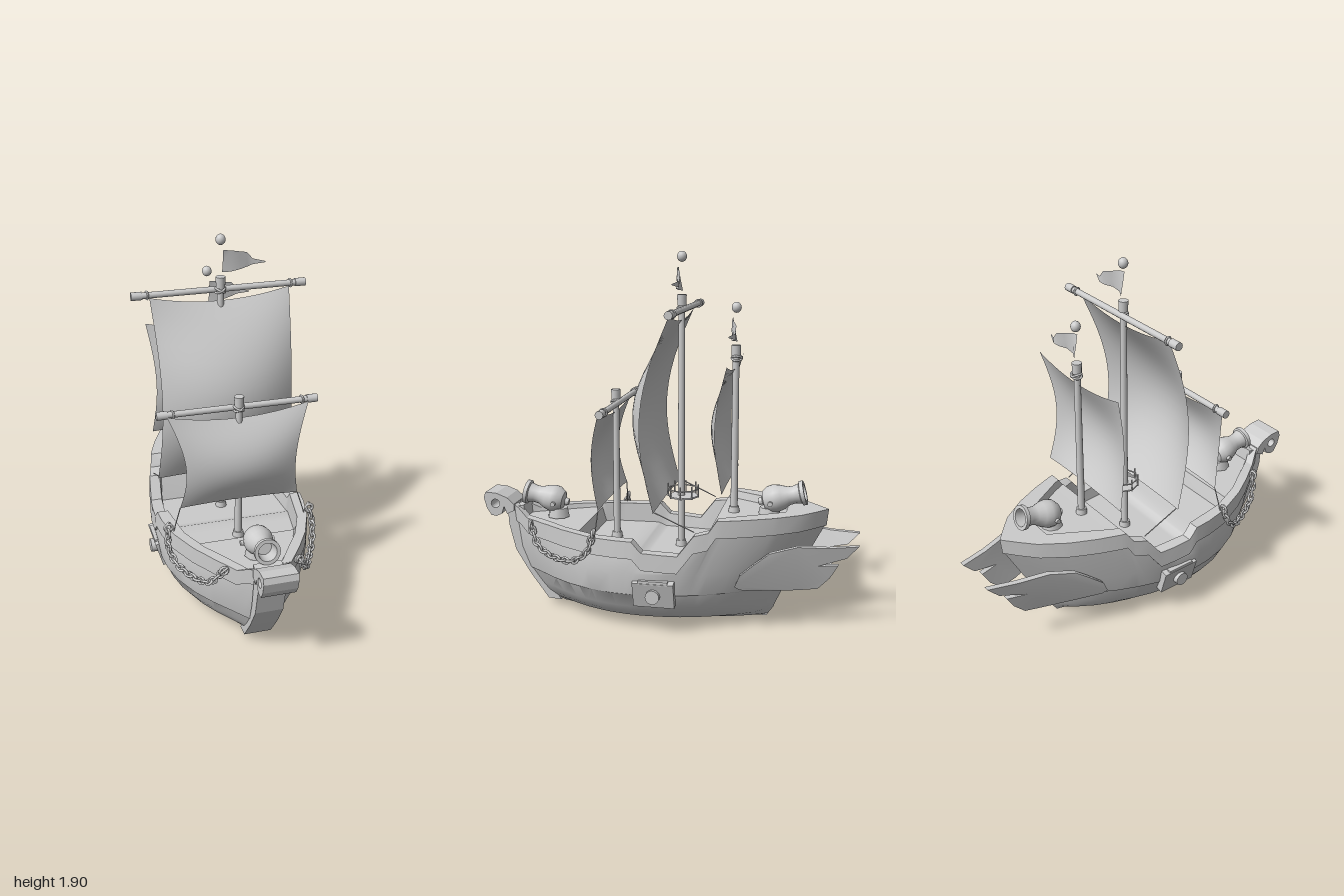
import * as THREE from 'three';
import { toCreasedNormals } from 'three/addons/utils/BufferGeometryUtils.js';

const grey = new THREE.MeshStandardMaterial({ color: 0xcccccc, side: THREE.DoubleSide });
grey.name = 'pale grey';
const V = (x, y, z) => new THREE.Vector3(x, y, z);
const lerp = THREE.MathUtils.lerp;

function add(parent, name, geo, x = 0, y = 0, z = 0) {
  const m = new THREE.Mesh(geo, grey);
  m.name = name;
  m.position.set(x, y, z);
  parent.add(m);
  return m;
}

// Piecewise linear lookup in a list of [z, value] pairs
function lookup(list, z) {
  for (let i = 1; i < list.length; i++) {
    const [a, va] = list[i - 1], [b, vb] = list[i];
    if (z <= b) return lerp(va, vb, Math.max(0, (z - a) / (b - a)));
  }
  return list[list.length - 1][1];
}

// Surface through rows of points, optionally closing each row
function loft(rows, closed, crease) {
  const n = rows[0].length, idx = [];
  for (let i = 0; i < rows.length - 1; i++) {
    for (let j = 0; j < (closed ? n : n - 1); j++) {
      const k = (j + 1) % n, a = i * n + j, b = i * n + k;
      idx.push(a, b, a + n, b, b + n, a + n);
    }
  }
  const g = new THREE.BufferGeometry().setFromPoints(rows.flat());
  g.setIndex(idx);
  return toCreasedNormals(g, crease);
}

// Side profile given as [z, y], extruded across x and centred
function sidePlate(points, width, hole) {
  const s = new THREE.Shape(points.map(p => new THREE.Vector2(...p)));
  if (hole) s.holes.push(new THREE.Path().absarc(...hole, 0, Math.PI * 2, true));
  const g = new THREE.ExtrudeGeometry(s, { depth: width, bevelEnabled: false, curveSegments: 10 });
  return g.translate(0, 0, -width / 2).rotateY(-Math.PI / 2);
}

function rod(parent, name, a, b, r, sides = 12) {
  const m = add(parent, name, new THREE.CylinderGeometry(r, r, a.distanceTo(b), sides));
  m.position.copy(a).lerp(b, 0.5);
  m.quaternion.setFromUnitVectors(V(0, 1, 0), b.clone().sub(a).normalize());
  return m;
}

// Hull plan, inner wall, rail height and deck height along z
const plan = [[-0.84, 0], [-0.78, 0.07], [-0.71, 0.145], [-0.58, 0.23], [-0.45, 0.29], [-0.34, 0.33], [-0.2, 0.37],
  [-0.05, 0.39], [0.08, 0.395], [0.2, 0.385], [0.34, 0.355], [0.5, 0.29], [0.62, 0.22], [0.72, 0.15], [0.83, 0.075]];
const inside = [[-0.84, 0], [-0.63, 0.1], [-0.34, 0.265], [-0.2, 0.315], [0.08, 0.34], [0.34, 0.3], [0.5, 0.235],
  [0.72, 0.095], [0.83, 0.02]];
const rail = [[-0.84, 0.6], [-0.31, 0.6], [-0.27, 0.54], [-0.2, 0.525], [-0.12, 0.42], [0.06, 0.43], [0.11, 0.485],
  [0.3, 0.485], [0.6, 0.5], [0.74, 0.5], [0.8, 0.54], [0.83, 0.55]];
const deck = [[-0.84, 0.6], [-0.63, 0.6], [-0.62, 0.56], [-0.28, 0.56], [-0.2, 0.36], [0.08, 0.36], [0.12, 0.38],
  [0.41, 0.39], [0.43, 0.47], [0.83, 0.48]];

function hullGeometry() {
  // Each level: height (function of the rail), stern z, bow z, width factor
  const levels = [[() => 0, -0.53, 0.52, 0.03], [() => 0.015, -0.54, 0.57, 0.36], [() => 0.05, -0.565, 0.62, 0.66],
    [() => 0.085, -0.58, 0.66, 0.78], [() => 0.13, -0.6, 0.69, 0.87], [() => 0.2, -0.635, 0.735, 0.94],
    [() => 0.205, -0.645, 0.745, 0.955], [r => Math.min(0.32, r - 0.1), -0.72, 0.79, 1],
    [r => r - 0.09, -0.82, 0.81, 0.985], [r => r - 0.088, -0.83, 0.82, 1.015], [r => r, -0.84, 0.83, 1]];
  const stations = [...new Set([...plan, ...inside, ...rail, ...deck].map(p => p[0]))].sort((a, b) => a - b);
  const rows = stations.map(z => {
    const t = (z + 0.84) / 1.67, w = lookup(plan, z), r = lookup(rail, z), inner = Math.min(w, lookup(inside, z));
    const half = levels.map(([y, s, b, k]) => V(w * k, y(r), lerp(s, b, t)));
    half.push(V(inner, r, z), V(Math.max(0, inner - 0.01), lookup(deck, z), z));
    return [...half, ...half.map(p => V(-p.x, p.y, p.z)).reverse()];
  });
  return loft(rows, true, 0.5);
}

// Feathered stern fin that hugs the hull and leans inward below
const finLine = [[-1, 0.12], [-0.7, 0.205], [-0.57, 0.25], [-0.45, 0.3], [-0.39, 0.325]];
function finGeometry(s) {
  const g = sidePlate([[-0.395, 0.25], [-0.42, 0.31], [-0.48, 0.36], [-0.565, 0.425], [-0.7, 0.455], [-0.85, 0.445],
    [-1, 0.45], [-0.94, 0.385], [-0.8, 0.345], [-0.9, 0.345], [-0.86, 0.275], [-0.8, 0.215], [-0.7, 0.21], [-0.55, 0.215], [-0.42, 0.23]], 0.03);
  const p = g.attributes.position;
  for (let i = 0; i < p.count; i++) {
    p.setX(i, p.getX(i) + s * (lookup(finLine, p.getZ(i)) - (0.45 - p.getY(i)) * 0.25));
  }
  return toCreasedNormals(g, 0.5);
}

function sail(parent, name, top, bottom, waist, yTop, yBot, zTop, zBot, belly, edge) {
  const rows = [];
  for (let j = 0; j <= 14; j++) {
    const v = j / 14, row = [], swell = Math.sin(Math.PI * v);
    for (let i = -8; i <= 8; i++) {
      const u = i / 8, c = 1 - u * u;
      row.push(V(u * (lerp(top, bottom, v) - waist * swell),
        lerp(yTop, yBot, v) - 0.045 * c * (1 - v) + 0.01 * c * v,
        lerp(zTop, zBot, v) + lerp(edge, belly, c) * swell));
    }
    rows.push(row);
  }
  add(parent, name, loft(rows, false, 1.2));
}

function mast(parent, name, z, base, top, yardY, yardHalf) {
  const g = new THREE.Group();
  g.name = name;
  parent.add(g);
  add(g, 'mastPole', new THREE.CylinderGeometry(0.017, 0.019, top - base, 14), 0, (top + base) / 2, z);
  add(g, 'mastFoot', new THREE.CylinderGeometry(0.026, 0.03, 0.03, 14), 0, base + 0.015, z);
  add(g, 'mastCap', new THREE.CylinderGeometry(0.025, 0.023, 0.055, 14), 0, top - 0.027, z);
  for (const tilt of [0.45, -0.45]) {
    const ring = add(g, 'mastLashing', new THREE.TorusGeometry(0.026, 0.006, 6, 16), 0, yardY, z - 0.004);
    ring.rotation.set(Math.PI / 2, tilt, 0);
  }
  if (!yardHalf) return;
  rod(g, 'yard', V(-yardHalf, yardY, z - 0.02), V(yardHalf, yardY, z - 0.02), 0.016);
  for (const s of [-1, 1]) {
    const end = V(s * yardHalf, yardY, z - 0.02);
    rod(g, 'yardEnd', end, end.clone().add(V(-s * 0.055, 0, 0)), 0.021);
    add(g, 'yardLashing', new THREE.TorusGeometry(0.019, 0.005, 6, 14), s * (yardHalf - 0.08), yardY, z - 0.02).rotation.y = Math.PI / 2 + 0.2;
  }
}

// Waving pennant and the ball above it
function pennant(parent, y, z) {
  const edge = [[0.01, 0.06, -0.06], [0.05, 0.055, -0.053], [0.1, 0.04, -0.045], [0.14, 0.03, -0.042], [0.17, -0.005, -0.035], [0.23, -0.016, -0.022]];
  add(parent, 'pennant', loft(edge.map(([x, a, b]) =>
    [a, (a + b) / 2, b].map(h => V(x, y + h, z + 0.018 * Math.sin(x * 30 + h * 12)))), false, 1.2));
  const ball = add(parent, 'mastBall', new THREE.SphereGeometry(0.025, 14, 10), 0, y + 0.11, z);
  ball.scale.y = 1.1;
}

function cannon(parent, name, y, z, facing, tilt) {
  const g = new THREE.Group();
  g.name = name;
  const profile = [[0, -0.125], [0.018, -0.12], [0.02, -0.1], [0.05, -0.09], [0.07, -0.06], [0.073, -0.03], [0.064, 0.005],
    [0.048, 0.04], [0.046, 0.07], [0.053, 0.1], [0.064, 0.105], [0.064, 0.125], [0.046, 0.125], [0.038, 0.06], [0, 0.06]];
  const barrel = new THREE.LatheGeometry(profile.map(p => new THREE.Vector2(...p)), 20);
  add(g, 'cannonBarrel', toCreasedNormals(barrel, 0.6)).rotation.x = Math.PI / 2 - tilt;
  rod(g, 'cannonPivot', V(-0.085, -0.02, -0.05), V(0.085, -0.02, -0.05), 0.013);
  add(g, 'cannonBase', new THREE.CylinderGeometry(0.05, 0.06, 0.05, 8), 0, -0.08, -0.06);
  g.position.set(0, y, z);
  g.rotation.y = facing;
  parent.add(g);
}

function chain(parent, s) {
  const curve = new THREE.CatmullRomCurve3([V(0.19, 0.48, 0.7), V(0.245, 0.385, 0.64), V(0.3, 0.345, 0.53),
    V(0.36, 0.36, 0.41), V(0.385, 0.42, 0.34), V(0.375, 0.51, 0.31)].map(p => V(p.x * s, p.y, p.z)));
  const n = 18;
  for (let i = 0; i <= n; i++) {
    const link = add(parent, 'chainLink', new THREE.TorusGeometry(0.017, 0.0065, 6, 12).scale(1.35, 0.9, 1));
    link.position.copy(curve.getPointAt(i / n));
    link.quaternion.setFromUnitVectors(V(1, 0, 0), curve.getTangentAt(i / n));
    link.rotateX(i % 2 ? Math.PI / 2 : 0);
  }
  for (const t of [0, 1]) add(parent, 'chainRing', new THREE.TorusGeometry(0.02, 0.007, 6, 14)).position.copy(curve.getPointAt(t));
}

export function createModel() {
  const ship = new THREE.Group();
  ship.name = 'sailingShip';
  add(ship, 'hull', hullGeometry());

  // Stem and curled bow block
  add(ship, 'stem', sidePlate([[0.58, 0.03], [0.65, 0.035], [0.75, 0.17], [0.83, 0.3], [0.865, 0.44], [0.87, 0.53],
    [0.78, 0.55], [0.77, 0.46], [0.74, 0.32], [0.67, 0.18]], 0.14));
  add(ship, 'bowCurl', sidePlate([[0.83, 0.52], [0.87, 0.5], [0.887, 0.54], [0.9, 0.5], [0.93, 0.485], [0.96, 0.49],
    [0.985, 0.53], [1, 0.585], [0.99, 0.615], [0.93, 0.612], [0.87, 0.59], [0.83, 0.555]], 0.17, [0.935, 0.555, 0.024]));

  for (const s of [-1, 1]) {
    add(ship, 'sternFin', finGeometry(s));

    // Side gun port, tilted with the planking
    add(ship, 'gunPort', new THREE.BoxGeometry(0.04, 0.14, 0.21), s * 0.368, 0.215, 0).rotation.z = -s * 0.28;
    add(ship, 'gunPortLintel', new THREE.BoxGeometry(0.04, 0.02, 0.15), s * 0.385, 0.28, 0);
    rod(ship, 'sideGun', V(s * 0.36, 0.21, 0), V(s * 0.415, 0.21, 0), 0.036, 18);
    chain(ship, s);

    // Sail ropes
    rod(ship, 'foreSailRope', V(s * 0.31, 0.61, 0.3), V(s * 0.35, 0.48, 0.31), 0.003, 5);
    rod(ship, 'mainSailRope', V(s * 0.35, 0.63, 0), V(s * 0.345, 0.54, -0.2), 0.003, 5);
  }

  mast(ship, 'foreMast', 0.28, 0.385, 1.185, 1.12, 0.41);
  mast(ship, 'mainMast', -0.07, 0.36, 1.68, 1.61, 0.45);
  mast(ship, 'rearMast', -0.35, 0.56, 1.43, 1.365, 0);
  sail(ship, 'foreSail', 0.36, 0.31, 0.05, 1.115, 0.61, 0.28, 0.3, 0.095, 0.05);
  sail(ship, 'mainSail', 0.36, 0.36, 0.02, 1.6, 0.625, -0.075, 0.005, 0.21, 0.11);
  sail(ship, 'rearSail', 0.335, 0.32, 0.03, 1.36, 0.73, -0.35, -0.33, 0.105, 0.05);
  pennant(ship, 1.76, -0.07);
  pennant(ship, 1.51, -0.35);

  // Small railed platform on the main mast
  add(ship, 'platform', new THREE.CylinderGeometry(0.08, 0.08, 0.008, 8), 0, 0.63, -0.08);
  add(ship, 'platformRail', new THREE.TorusGeometry(0.08, 0.004, 5, 8).rotateX(Math.PI / 2), 0, 0.67, -0.08);
  for (let i = 0; i < 8; i++) {
    const a = i * Math.PI / 4;
    add(ship, 'platformPost', new THREE.CylinderGeometry(0.004, 0.004, 0.07, 5), 0.08 * Math.cos(a), 0.66, -0.08 + 0.08 * Math.sin(a));
  }

  cannon(ship, 'bowCannon', 0.585, 0.665, 0, 0.2);
  cannon(ship, 'sternCannon', 0.65, -0.595, Math.PI, 0.25);
  return ship;
}
